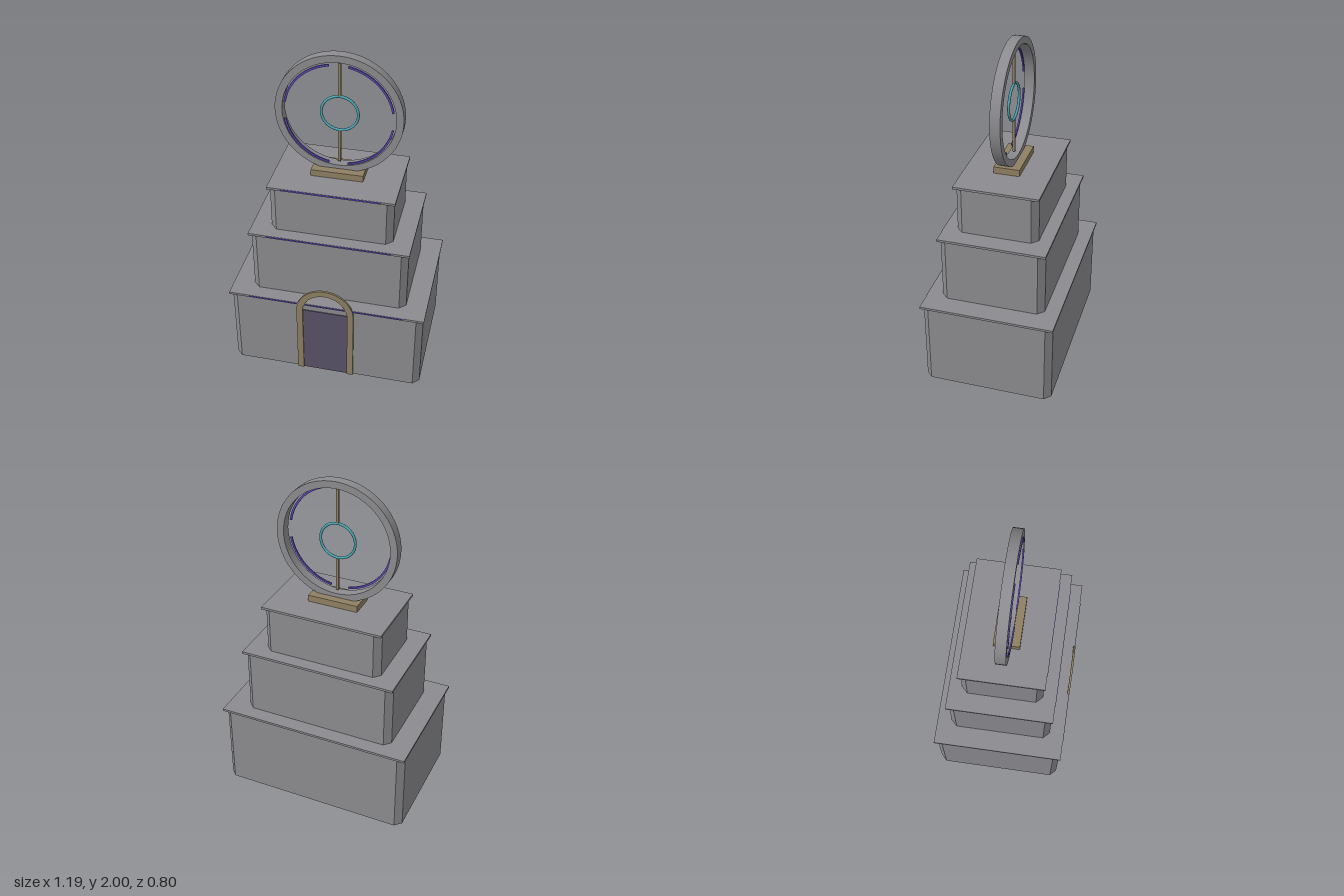
import * as THREE from 'three';

const mat = (name, color) => {
  const m = new THREE.MeshStandardMaterial({ color });
  m.name = name;
  return m;
};

export function createModel() {
  const stone = mat('grey stone', 0x8c8c90);
  const bronze = mat('bronze', 0x8f8062);
  const doorMat = mat('dark violet door', 0x595367);
  const violet = mat('violet glow', 0x5a46b4);
  const teal = mat('teal', 0x4ba3b0);

  const model = new THREE.Group();
  model.name = 'steppedTower';
  const Z = -0.003; // centre line of the tower in depth

  const add = (name, geometry, material, x, y, z, parent = model) => {
    const mesh = new THREE.Mesh(geometry, material);
    mesh.name = name;
    mesh.position.set(x, y, z);
    parent.add(mesh);
    return mesh;
  };
  const box = (w, h, d) => new THREE.BoxGeometry(w, h, d);
  const extrude = (shape, depth, curveSegments = 32) =>
    new THREE.ExtrudeGeometry(shape, { depth, bevelEnabled: false, curveSegments });

  // Block with its four upright corners cut off, standing on y = 0
  const chamferedBlock = (a, d, h, c) => {
    const s = new THREE.Shape([
      [a - c, -d], [a, c - d], [a, d - c], [a - c, d],
      [c - a, d], [-a, d - c], [-a, c - d], [c - a, -d],
    ].map(([x, y]) => new THREE.Vector2(x, y)));
    return extrude(s, h).rotateX(-Math.PI / 2);
  };

  // Three tiers: body, overhanging slab and glowing strip on the slab's front
  const tiers = [
    // half width, half depth, bottom, top, strip half width
    [0.587, 0.391, 0, 0.53, 0.47],
    [0.47, 0.312, 0.53, 0.94, 0.373],
    [0.365, 0.243, 0.94, 1.238, 0.29],
  ];
  const slabH = 0.014, lip = 0.009;
  tiers.forEach(([a, d, y0, y1, strip], i) => {
    const tier = new THREE.Group();
    tier.name = `tier${i + 1}`;
    model.add(tier);
    add('tierBody', chamferedBlock(a, d, y1 - y0 - slabH, 0.038), stone, 0, y0, Z, tier);
    add('tierSlab', box(2 * (a + lip), slabH, 2 * (d + lip)), stone, 0, y1 - slabH / 2, Z, tier);
    add('glowStrip', box(2 * strip, 0.008, 0.004), violet, 0, y1 - 0.006, Z + d + lip + 0.001, tier);
  });

  // Door and the round arch framing it
  add('door', box(0.274, 0.475, 0.006), doorMat, 0, 0.2375, 0.39);
  const arch = new THREE.Shape();
  arch.moveTo(0.175, 0);
  arch.lineTo(0.175, 0.472);
  arch.absarc(0, 0.472, 0.175, 0, Math.PI, false);
  arch.lineTo(-0.175, 0);
  arch.lineTo(-0.137, 0);
  arch.lineTo(-0.137, 0.472);
  arch.absarc(0, 0.472, 0.137, Math.PI, 0, true);
  arch.lineTo(0.137, 0);
  add('doorArch', extrude(arch, 0.013, 16), bronze, 0, 0, 0.388);

  // Plinth for the wheel
  add('plinth', box(0.31, 0.042, 0.155), bronze, 0, 1.257, Z);

  // Wheel on top
  const wheel = new THREE.Group();
  wheel.name = 'wheel';
  wheel.position.set(0, 1.63, Z);
  model.add(wheel);

  // Outer rim: rectangular section turned about z, with sharp edges
  const R = 0.37, r = 0.328, t = 0.03;
  const rim = [[r, -t], [R, -t], [R, t], [r, t]];
  rim.forEach((p, i) => {
    const q = rim[(i + 1) % 4];
    const side = new THREE.LatheGeometry(
      [new THREE.Vector2(...p), new THREE.Vector2(...q)], 64).rotateX(Math.PI / 2);
    add('wheelRim', side, stone, 0, 0, 0, wheel);
  });

  // Four glowing arcs just inside the rim, at its front
  for (let i = 0; i < 4; i++) {
    const a = i * Math.PI / 2 + 0.175, b = (i + 1) * Math.PI / 2 - 0.175;
    const s = new THREE.Shape();
    s.absarc(0, 0, 0.32, a, b, false);
    s.absarc(0, 0, 0.308, b, a, true);
    add('glowArc', extrude(s, 0.009, 20), violet, 0, 0, 0.026, wheel);
  }

  // Hub ring and the two upright spokes
  add('hubRing', new THREE.TorusGeometry(0.107, 0.008, 10, 48), teal, 0, 0, 0, wheel);
  for (const s of [1, -1])
    add('spoke', box(0.015, 0.203, 0.015), bronze, 0, s * 0.2135, 0, wheel);

  return model;
}
